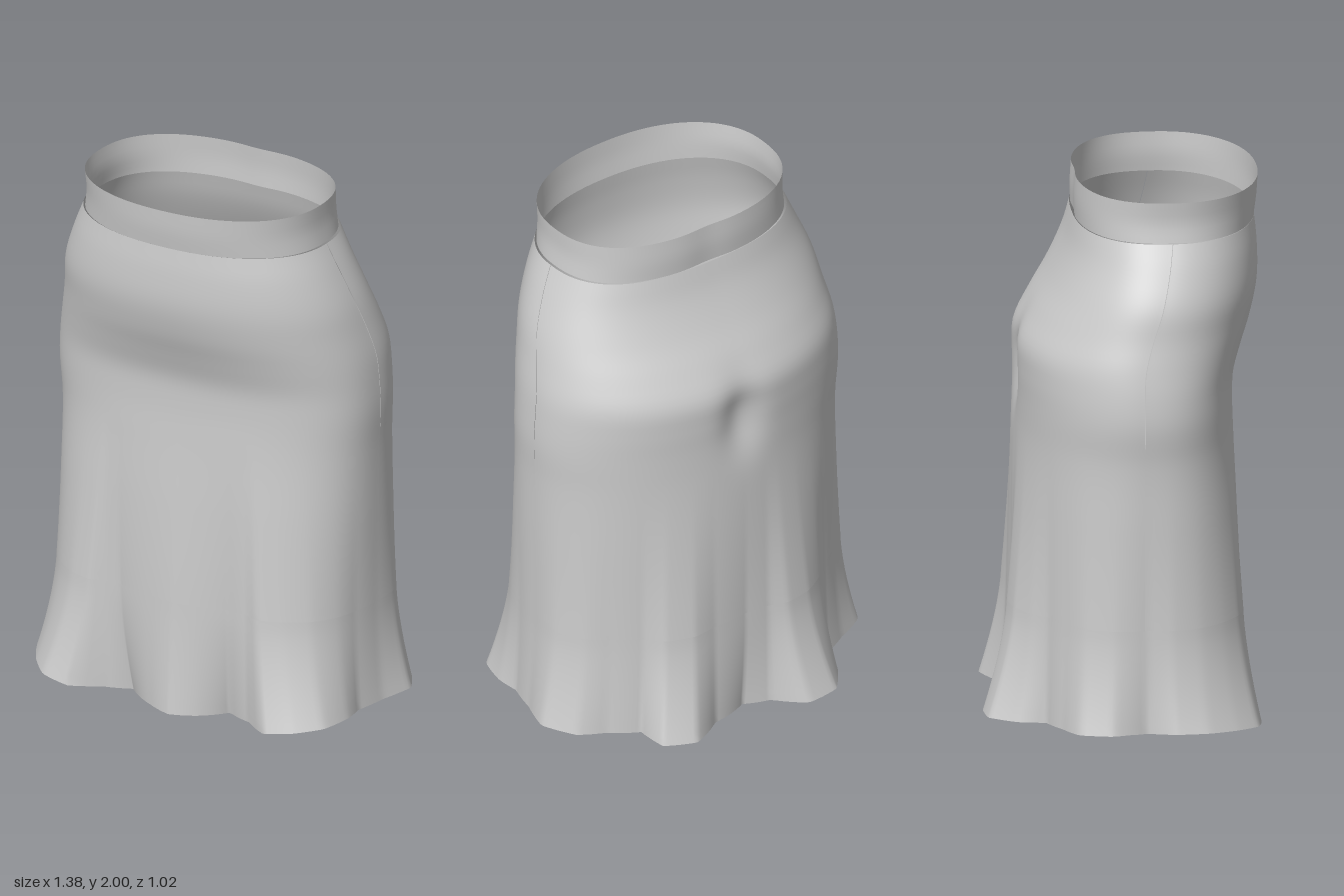
import * as THREE from 'three';

const material = new THREE.MeshStandardMaterial({ color: 0xcccccc, side: THREE.DoubleSide });
const { lerp } = THREE.MathUtils;

// Rows: height, right x, left x, front z, back z, z of the widest point,
// squareness of the front half, squareness of the back half (bottom to top)
const bodyRows = [
  [0.0, -0.625, 0.61, 0.44, -0.4, 0.04, 2.5, 2.05],
  [0.43, -0.63, 0.615, 0.435, -0.395, 0.04, 2.5, 2.05],
  [0.8, -0.638, 0.625, 0.422, -0.39, 0.04, 2.55, 2.05],
  [1.05, -0.645, 0.63, 0.41, -0.385, 0.04, 2.55, 2.05],
  [1.2, -0.66, 0.635, 0.405, -0.383, 0.04, 2.55, 2.05],
  [1.3, -0.655, 0.63, 0.41, -0.385, 0.04, 2.55, 2.05],
  [1.4, -0.64, 0.62, 0.44, -0.38, 0.045, 2.45, 2.05],
  [1.5, -0.62, 0.6, 0.475, -0.33, 0.07, 2.3, 2.1],
  [1.62, -0.6, 0.57, 0.5, -0.26, 0.11, 2.2, 2.2],
  [1.75, -0.55, 0.52, 0.5, -0.2, 0.14, 2.2, 2.35],
  [1.85, -0.505, 0.475, 0.49, -0.17, 0.155, 2.2, 2.5],
];
const bandRows = [
  [1.85, -0.495, 0.465, 0.49, -0.168, 0.16, 2.2, 2.5],
  [1.92, -0.485, 0.455, 0.5, -0.17, 0.16, 2.2, 2.5],
  [2.0, -0.49, 0.455, 0.505, -0.165, 0.165, 2.2, 2.5],
];

// Hem outline as x, z, going from the left side round the front
const hemOutline = [
  [0.65, 0.05], [0.62, 0.17], [0.63, 0.26], [0.6, 0.38], [0.51, 0.455], [0.4, 0.49],
  [0.3, 0.41], [0.19, 0.36], [0.1, 0.44], [0, 0.48], [-0.1, 0.44], [-0.22, 0.36],
  [-0.32, 0.41], [-0.42, 0.485], [-0.54, 0.465], [-0.62, 0.38], [-0.68, 0.27],
  [-0.69, 0.15], [-0.64, 0.05], [-0.69, -0.08], [-0.65, -0.2], [-0.54, -0.25],
  [-0.43, -0.3], [-0.41, -0.4], [-0.33, -0.5], [-0.2, -0.51], [-0.1, -0.41],
  [0, -0.37], [0.15, -0.41], [0.28, -0.48], [0.4, -0.43], [0.41, -0.31],
  [0.52, -0.245], [0.62, -0.2], [0.69, -0.08],
];
const hemMid = 0.04;

// Hem distance from the axis by angle, repeated at both ends of the turn
const TURN = Math.PI * 2;
const polar = hemOutline.map(([x, z]) => [
  (Math.atan2(z - hemMid, x) + TURN) % TURN, Math.hypot(x, z - hemMid)]);
const [first, last] = [polar[0], polar[polar.length - 1]];
const wrapped = [[last[0] - TURN, last[1]], ...polar, [first[0] + TURN, first[1]]];
const hemRadius = new THREE.LinearInterpolant(
  wrapped.map((p) => p[0]), wrapped.map((p) => p[1]), 1, new Float32Array(1));

// Smooth profile through the rows: returns the ring measurements at height y
function profile(rows) {
  const curve = new THREE.CubicInterpolant(
    rows.map((r) => r[0]), rows.flatMap((r) => r.slice(1)), 7, new Float32Array(7));
  return (y) => curve.evaluate(y);
}
const bodyAt = profile(bodyRows), bandAt = profile(bandRows);

// Point of a rounded oval ring in the direction of an angle
function ringPoint([right, left, front, back, mid, nFront, nBack], angle, y) {
  const c = Math.cos(angle), s = Math.sin(angle);
  const a = (left - right) / 2;
  const [b, n] = s > 0 ? [front - mid, nFront] : [mid - back, nBack];
  const r = (Math.abs(c / a) ** n + Math.abs(s / b) ** n) ** (-1 / n);
  return new THREE.Vector3((left + right) / 2 + r * c, y, mid + r * s);
}

const bump = (d, w) => Math.exp(-((d / w) ** 2));

// Cloth surface at a height; fold is how far it follows the wavy hem
function clothPoint(angle, y, fold) {
  const p = ringPoint(bodyAt(y), angle, y);
  const r = hemRadius.evaluate((angle + TURN) % TURN)[0];
  p.x = lerp(p.x, r * Math.cos(angle), fold);
  p.z = lerp(p.z, hemMid + r * Math.sin(angle), fold);
  // Hollow at the centre of the seat
  if (p.z < 0) p.z += 0.04 * bump(p.x, 0.085) * bump(y - 1.28, 0.14);
  return p;
}

// Cloth sheet from point(u, v): u runs round the body, v runs downward
function sheet(name, cols, rows, closed, point) {
  const positions = [], index = [];
  const width = closed ? cols : cols + 1;
  for (let j = 0; j <= rows; j++)
    for (let i = 0; i < width; i++) positions.push(...point(i / cols, j / rows).toArray());
  for (let j = 0; j < rows; j++)
    for (let i = 0; i < cols; i++) {
      const a = j * width + i, b = j * width + ((i + 1) % width);
      index.push(a, b, a + width, b, b + width, a + width);
    }
  const geometry = new THREE.BufferGeometry();
  geometry.setAttribute('position', new THREE.Float32BufferAttribute(positions, 3));
  geometry.setIndex(index);
  geometry.computeVertexNormals();
  const mesh = new THREE.Mesh(geometry, material);
  mesh.name = name;
  return mesh;
}

export function createModel() {
  const group = new THREE.Group();
  group.name = 'skirt';
  const seamY = 0.43, seamFold = 0.3;

  // Waistband
  group.add(sheet('waistband', 96, 6, true, (u, v) => {
    const y = lerp(2, 1.85, v);
    const p = ringPoint(bandAt(y), u * TURN, y);
    if (p.z < 0) p.z += 0.008 * bump(p.x, 0.08);
    return p;
  }));

  // Front and back panels, with a fine open seam above the hips
  ['frontPanel', 'backPanel'].forEach((name, side) => {
    group.add(sheet(name, 120, 56, false, (u, v) => {
      const y = lerp(1.85, seamY, v);
      const gap = y > 1.12 ? 0.002 : 0;
      const fold = seamFold * Math.max(0, (1.1 - y) / (1.1 - seamY)) ** 1.5;
      return clothPoint(side * Math.PI + lerp(gap, Math.PI - gap, u), y, fold);
    }));
  });

  // Flared ruffle, dipping at the centre of the front and back
  group.add(sheet('ruffle', 240, 12, true, (u, v) => {
    const p = clothPoint(u * TURN, seamY * (1 - v), lerp(seamFold, 1, v ** 1.5));
    const rise = (p.x / 0.68) ** 2;
    p.y = lerp(seamY, p.z > 0 ? 0.05 * rise : 0.025 + 0.025 * rise, v);
    return p;
  }));

  return group;
}
